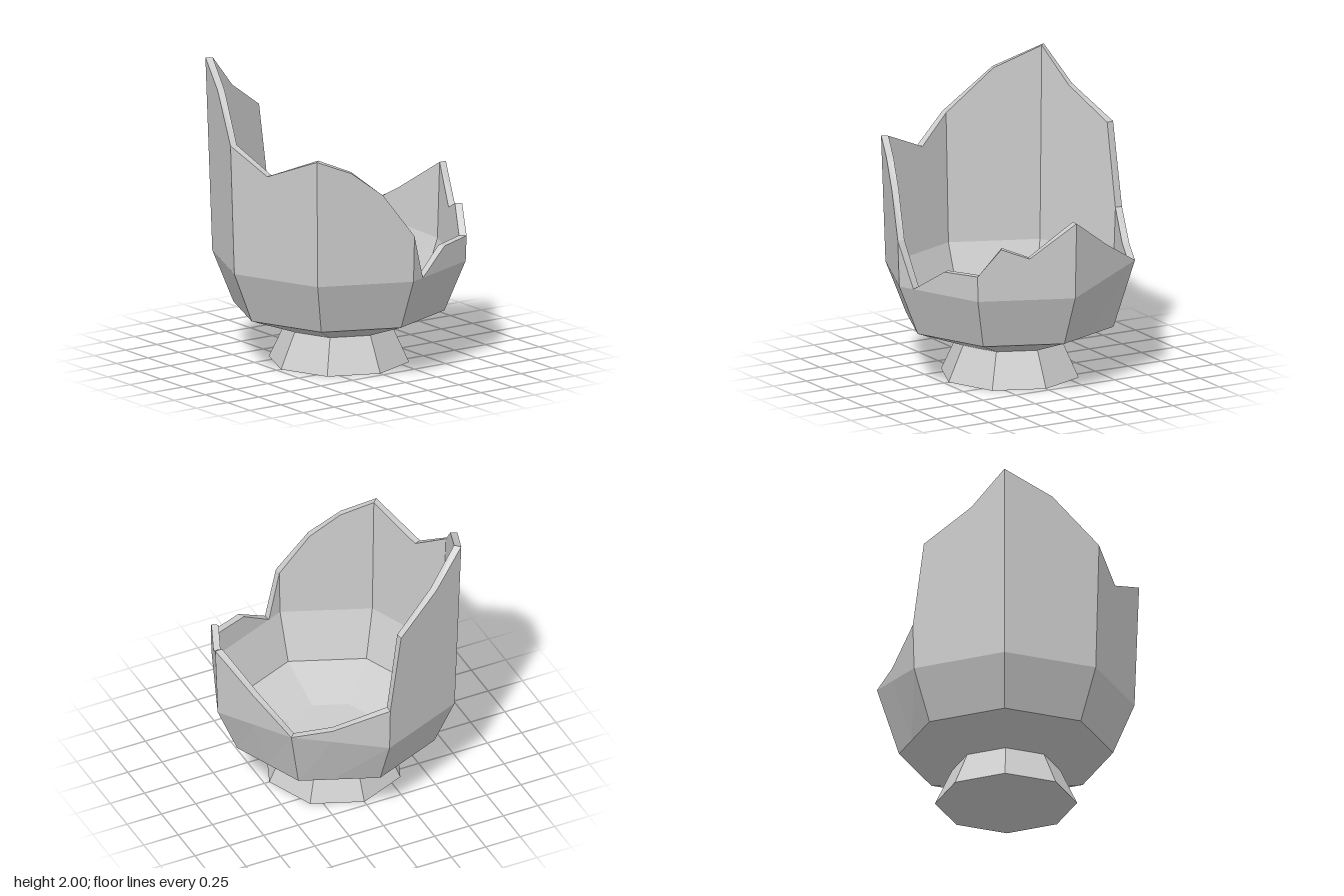
import * as THREE from 'three';

// Broken rim, counterclockwise from +x: [corner index + fraction along the side, height]
const RIM = [
  [0, 1.21], [0.5, 1.0],
  [1, 0.82], [1.42, 0.86],
  [2, 1.01], [2.14, 1.57], [2.65, 1.77],
  [3, 2.0], [3.5, 1.86],
  [4, 1.57], [4.42, 1.4],
  [5, 1.55], [5.35, 1.46], [5.67, 1.3],
  [6, 1.01], [6.18, 0.7], [6.58, 0.86],
  [7, 0.87], [7.24, 1.05], [7.53, 0.98],
  [8, 1.21],
];
const WALL = 0.05;

// Point on an octagon of corner radius r
function onOctagon(t, r, y) {
  const i = Math.floor(t), f = t - i;
  const a = i * Math.PI / 4, b = (i + 1) * Math.PI / 4;
  return [
    r * (Math.cos(a) * (1 - f) + Math.cos(b) * f),
    y,
    -r * (Math.sin(a) * (1 - f) + Math.sin(b) * f),
  ];
}

// Upper wall flares slightly with height
const flare = (y) => 0.84 + 0.035 * (y - 0.7);

// Cross-section: up the outside, over the rim, down the inside to the floor centre
function section([t, h]) {
  const shoulder = 0.7 + 0.12 * Math.max(0, 1 - Math.abs(t - 1)); // chipped back corner
  return [
    [0.355, 0.235], [0.7, 0.36], [flare(shoulder), shoulder], [flare(h), h],
    [flare(h) - WALL, h], [flare(shoulder) - WALL, shoulder], [0.67, 0.375], [0.31, 0.26], [0, 0.26],
  ].map(([r, y]) => onOctagon(t, r, y));
}

function bowlGeometry() {
  const columns = RIM.map(section);
  const positions = [];
  for (let i = 0; i < columns.length - 1; i++) {
    const left = columns[i], right = columns[i + 1];
    for (let j = 0; j < left.length - 1; j++) {
      const a = left[j], b = right[j], c = right[j + 1], d = left[j + 1];
      positions.push(...a, ...b, ...c);
      if (j < left.length - 2) positions.push(...a, ...c, ...d);
    }
  }
  const geometry = new THREE.BufferGeometry();
  geometry.setAttribute('position', new THREE.Float32BufferAttribute(positions, 3));
  geometry.computeVertexNormals();
  return geometry;
}

export function createModel() {
  const group = new THREE.Group();
  group.name = 'brokenPot';
  const material = new THREE.MeshStandardMaterial({ color: 0xcccccc, flatShading: true });

  // Flared foot
  const foot = new THREE.Mesh(new THREE.CylinderGeometry(0.355, 0.465, 0.235, 8), material);
  foot.name = 'foot';
  foot.position.y = 0.1175;
  group.add(foot);

  // Hollow bowl with a jagged rim
  const bowl = new THREE.Mesh(bowlGeometry(), material);
  bowl.name = 'bowl';
  group.add(bowl);

  return group;
}
